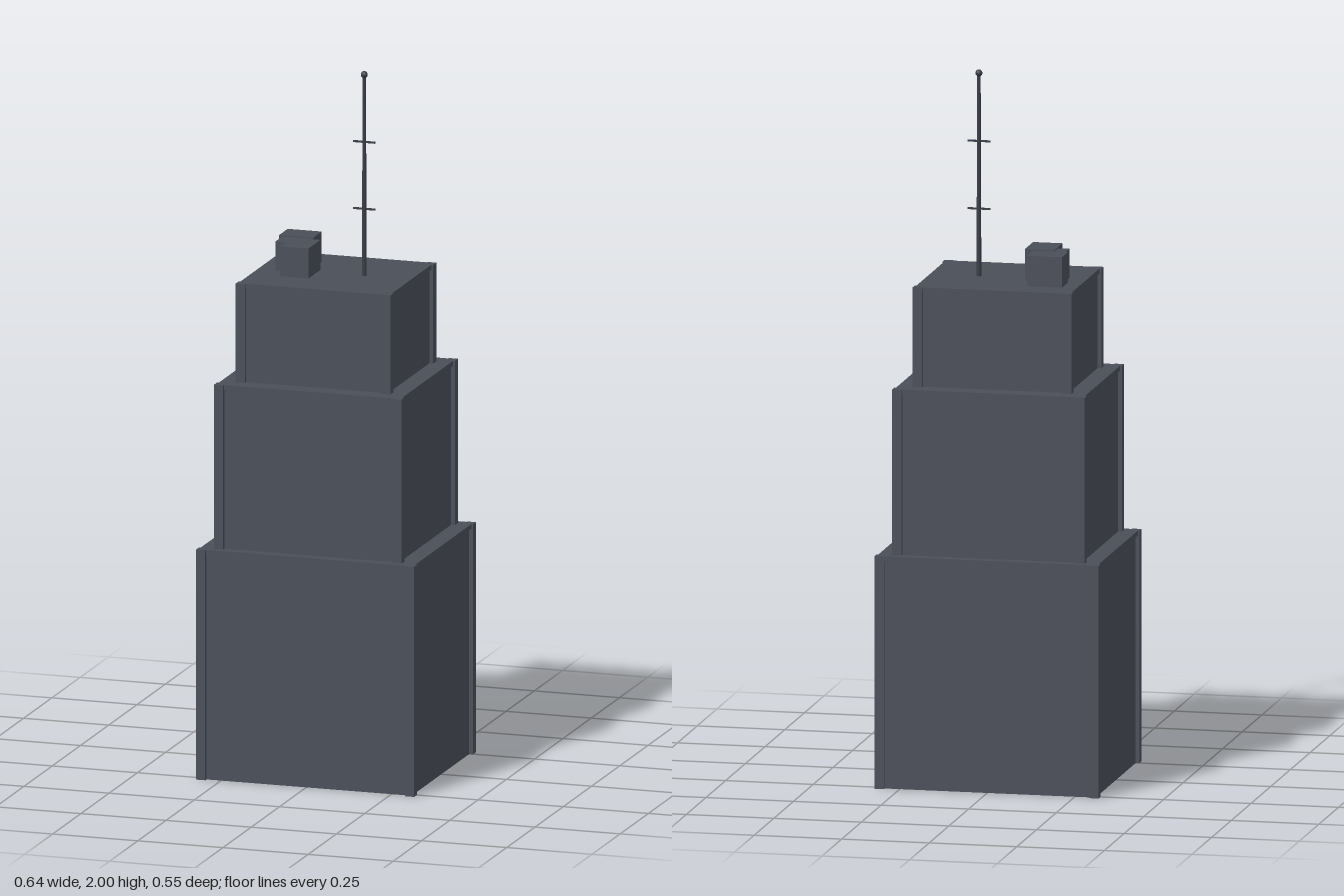
import * as THREE from 'three';

export function createModel() {
  const model = new THREE.Group();
  model.name = 'steppedTower';

  const material = (name, color) => {
    const m = new THREE.MeshStandardMaterial({ color });
    m.name = name;
    return m;
  };
  const concrete = material('slate concrete', 0x4a4e58);
  const metal = material('dark metal', 0x3a3d46);

  const add = (parent, name, geometry, mat, x, y, z) => {
    const mesh = new THREE.Mesh(geometry, mat);
    mesh.name = name;
    mesh.position.set(x, y, z);
    parent.add(mesh);
    return mesh;
  };
  // Box given by its minimum and maximum corners
  const block = (parent, name, mat, [x0, y0, z0], [x1, y1, z1]) =>
    add(parent, name, new THREE.BoxGeometry(x1 - x0, y1 - y0, z1 - z0), mat,
      (x0 + x1) / 2, (y0 + y1) / 2, (z0 + z1) / 2);

  // Stacked tiers: recessed walls, a thin roof rim and four corner posts
  const post = 0.027;
  const tiers = [
    { name: 'lowerTier', x: 0.32, z: 0.274, y0: 0, y1: 0.66 },
    { name: 'middleTier', x: 0.275, z: 0.25, y0: 0.66, y1: 1.131 },
    { name: 'upperTier', x: 0.227, z: 0.203, y0: 1.131, y1: 1.414 },
  ];
  for (const { name, x, z, y0, y1 } of tiers) {
    const tier = new THREE.Group();
    tier.name = name;
    model.add(tier);
    const wx = x - 0.011, wz = z - 0.011;
    const rx = x - 0.005, rz = z - 0.005;
    block(tier, 'walls', concrete, [-wx, y0, -wz], [wx, y1 - 0.014, wz]);
    block(tier, 'roofRim', concrete, [-rx, y1 - 0.014, -rz], [rx, y1, rz]);
    for (const sx of [-1, 1]) for (const sz of [-1, 1]) {
      add(tier, 'cornerPost', new THREE.BoxGeometry(post, y1 - y0, post), concrete,
        sx * (x - post / 2), (y0 + y1) / 2, sz * (z - post / 2));
    }
  }

  // Rooftop plant units
  const roof = 1.414;
  block(model, 'rearRoofUnit', concrete, [-0.18, roof, -0.115], [-0.08, 1.5, -0.04]);
  block(model, 'middleRoofUnit', concrete, [-0.17, roof, -0.04], [-0.09, 1.497, 0.025]);
  block(model, 'frontRoofUnit', concrete, [-0.137, roof, -0.022], [-0.053, 1.5, 0.083]);

  // Antenna with two crossbars and a ball tip
  const antenna = new THREE.Group();
  antenna.name = 'antenna';
  antenna.position.x = 0.083;
  model.add(antenna);
  add(antenna, 'mast', new THREE.CylinderGeometry(0.005, 0.007, 0.576, 8), metal, 0, roof + 0.288, 0);
  add(antenna, 'tip', new THREE.SphereGeometry(0.01, 10, 8), metal, 0, 1.99, 0);
  for (const y of [1.605, 1.797]) {
    add(antenna, 'crossbar', new THREE.BoxGeometry(0.065, 0.005, 0.005), metal, 0, y, 0);
  }

  return model;
}
